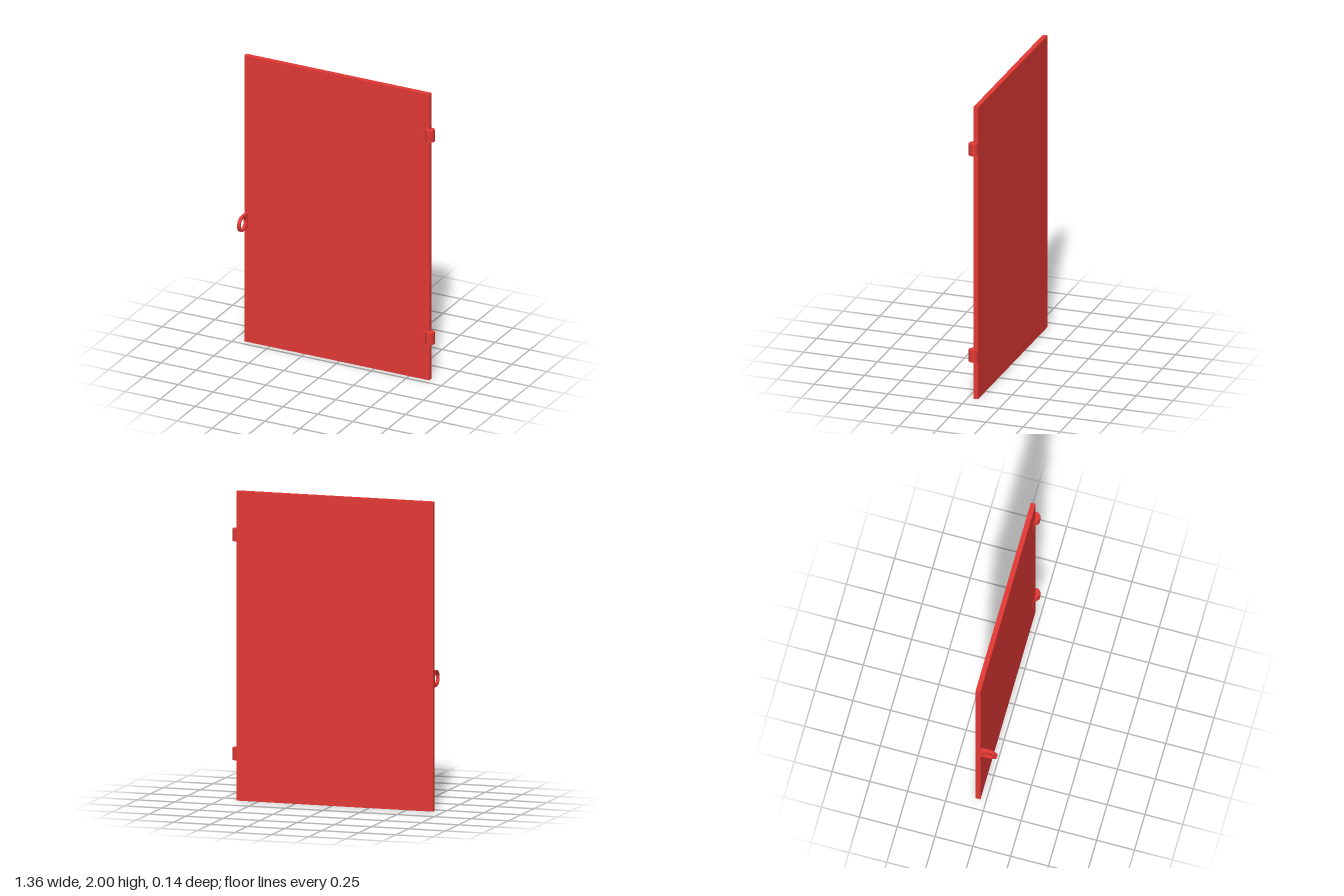
import * as THREE from 'three';

export function createModel() {
  const group = new THREE.Group();
  const red = new THREE.MeshStandardMaterial({ color: 0xe53935 });

  const add = (name, geometry, x, y, z, parent = group) => {
    const mesh = new THREE.Mesh(geometry, red);
    mesh.name = name;
    mesh.position.set(x, y, z);
    parent.add(mesh);
    return mesh;
  };

  // Door panel
  add('doorPanel', new THREE.BoxGeometry(1.325, 2, 0.032), -0.0175, 1, -0.054);

  // Hinges: octagonal barrel on the door edge, thin leaf on the front face
  const barrel = new THREE.CylinderGeometry(0.0325, 0.0325, 0.08, 8, 1, false, Math.PI / 8);
  const leaf = new THREE.BoxGeometry(0.075, 0.066, 0.008);
  for (const [name, y] of [['lowerHinge', 0.3], ['upperHinge', 1.715]]) {
    const hinge = new THREE.Group();
    hinge.name = name;
    hinge.position.y = y;
    group.add(hinge);
    add('hingeBarrel', barrel, 0.648, 0, -0.041, hinge);
    add('hingeLeaf', leaf, 0.6075, 0, -0.038, hinge);
  }

  // Pull loop: D-shaped plate with a round hole, profile drawn in z and y
  const loop = new THREE.Shape();
  loop.moveTo(-0.06, -0.053);
  loop.lineTo(0, -0.053);
  loop.absarc(0, 0, 0.053, -Math.PI / 2, Math.PI / 2, false);
  loop.lineTo(-0.06, 0.053);
  loop.closePath();
  const hole = new THREE.Path();
  hole.absarc(0, 0, 0.039, 0, Math.PI * 2, true);
  loop.holes.push(hole);
  const loopGeometry = new THREE.ExtrudeGeometry(loop, { depth: 0.02, bevelEnabled: false, curveSegments: 12 });
  loopGeometry.rotateY(-Math.PI / 2);
  add('pullLoop', loopGeometry, -0.657, 0.848, 0.017);

  return group;
}
